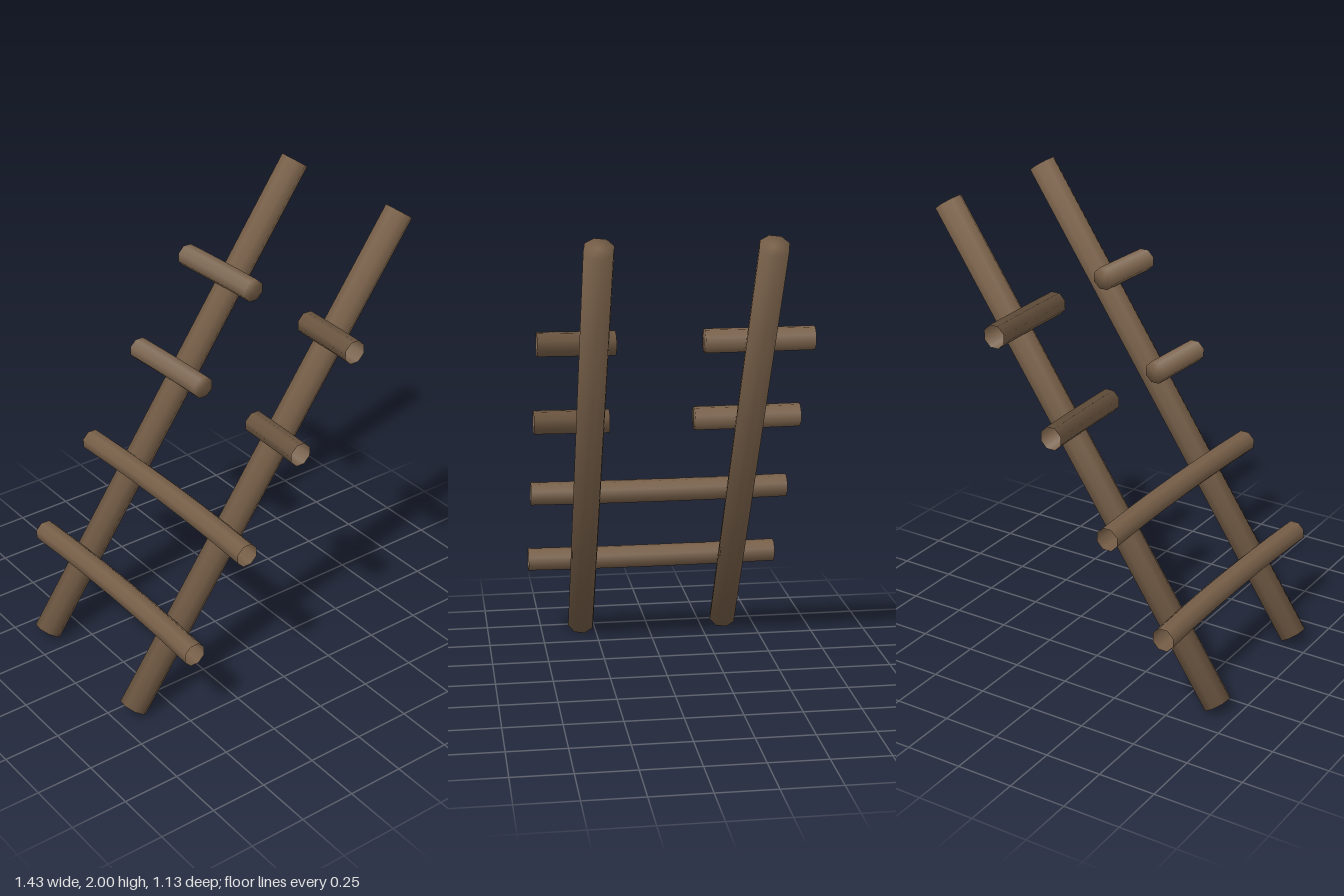
import * as THREE from 'three';
import { mergeGeometries } from 'three/addons/utils/BufferGeometryUtils.js';

const SIDES = 8;
const TURN = Math.PI / SIDES;
const HALF = 0.567; // half length of a whole rung

// Soft normals: lean the side normals along the pole axis near a capped end
function leanNormals(geo, lean) {
  const p = geo.attributes.position, n = geo.attributes.normal;
  const v = new THREE.Vector3();
  for (let i = 0; i < p.count; i++) {
    if (Math.hypot(p.getX(i), p.getY(i)) < 1e-4) continue;
    v.set(p.getX(i), p.getY(i), 0).normalize();
    v.z = lean(p.getZ(i));
    v.normalize();
    n.setXYZ(i, v.x, v.y, v.z);
  }
}

// Closed eight-sided pole between two points
function rail(name, from, to, material) {
  const length = from.distanceTo(to);
  const geo = new THREE.CylinderGeometry(0.062, 0.062, length, SIDES, 1, false, TURN);
  geo.rotateX(Math.PI / 2);
  leanNormals(geo, z => Math.sign(z) * 0.7);
  const mesh = new THREE.Mesh(geo, material);
  mesh.name = name;
  mesh.position.copy(from).add(to).multiplyScalar(0.5);
  mesh.quaternion.setFromUnitVectors(new THREE.Vector3(0, 0, 1), to.clone().sub(from).normalize());
  return mesh;
}

// Hollow bowed rung from z0 to z1; inner = +1 or -1 closes the broken end
function rung(name, x, y, z0, z1, inner, material) {
  const r = 0.051;
  let geo = new THREE.CylinderGeometry(r, r, z1 - z0, SIDES, 6, true, TURN);
  geo.rotateX(Math.PI / 2);
  if (inner) {
    const cap = new THREE.CircleGeometry(r, SIDES, TURN);
    if (inner < 0) cap.rotateY(Math.PI);
    cap.translate(0, 0, inner * (z1 - z0) / 2);
    geo = mergeGeometries([geo, cap]);
    leanNormals(geo, () => inner * 0.7);
  }
  geo.translate(0, 0, (z0 + z1) / 2);
  // slight bow towards the rails at mid-span
  const p = geo.attributes.position;
  for (let i = 0; i < p.count; i++) {
    p.setX(i, p.getX(i) + 0.015 * (1 - (p.getZ(i) / HALF) ** 2));
  }
  const mesh = new THREE.Mesh(geo, material);
  mesh.name = name;
  mesh.position.set(x, y, 0);
  return mesh;
}

export function createModel() {
  const wood = new THREE.MeshStandardMaterial({ color: 0x775f48 });
  wood.name = 'weathered brown wood';
  wood.side = THREE.DoubleSide;

  const ladder = new THREE.Group();
  ladder.name = 'brokenLadder';

  // Two leaning rails
  for (const [name, z] of [['frontRail', 0.335], ['backRail', -0.337]]) {
    ladder.add(rail(name,
      new THREE.Vector3(-0.663, 0.035, z - 0.018),
      new THREE.Vector3(0.663, 1.965, z + 0.018), wood));
  }

  // Two whole rungs below, two snapped rungs above
  for (let i = 0; i < 4; i++) {
    const x = -0.524 + i * 0.2645, y = 0.398 + i * 0.379;
    if (i < 2) {
      ladder.add(rung('wholeRung' + (i + 1), x, y, -HALF, HALF, 0, wood));
    } else {
      ladder.add(rung('brokenRungBack' + (i - 1), x, y, -HALF, -0.11, 1, wood));
      ladder.add(rung('brokenRungFront' + (i - 1), x, y, 0.25, HALF, -1, wood));
    }
  }
  return ladder;
}
